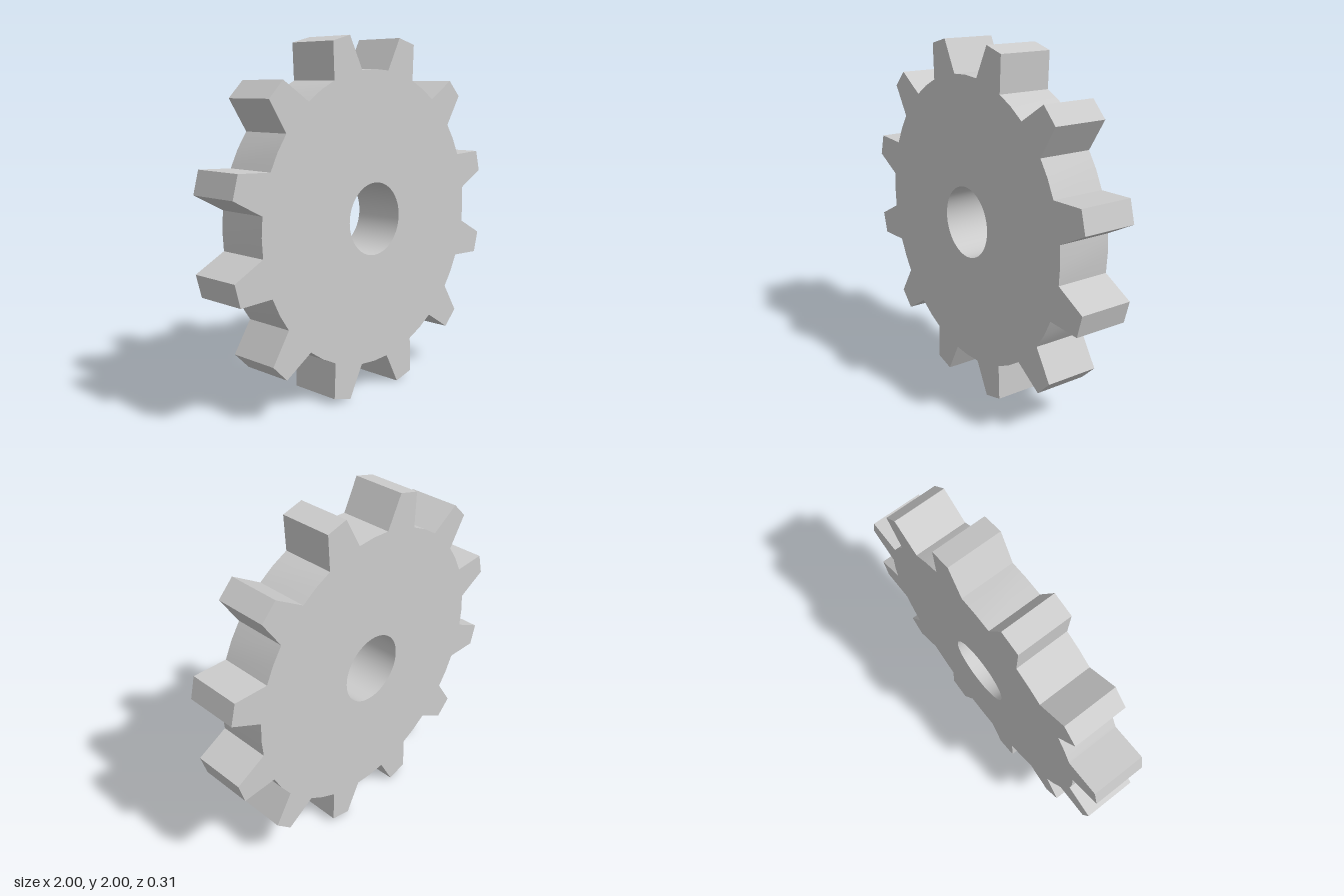
import * as THREE from 'three';
import { toCreasedNormals } from 'three/addons/utils/BufferGeometryUtils.js';

const TEETH = 12;
const TIP_R = 1.02, ROOT_R = 0.827, BORE_R = 0.205, DEPTH = 0.31;
const TIP_HALF = 3.65, ROOT_HALF = 7.6; // half widths of a tooth, in degrees

export function createModel() {
  const group = new THREE.Group();
  group.name = 'gear';

  const polar = (r, deg) => {
    const a = THREE.MathUtils.degToRad(deg);
    return new THREE.Vector2(r * Math.cos(a), r * Math.sin(a));
  };

  // Outline: a tapered tooth, then the middle of the root arc beside it
  const step = 360 / TEETH;
  const outline = [];
  for (let i = 0; i < TEETH; i++) {
    const mid = (i + 0.5) * step;
    outline.push(
      polar(ROOT_R, mid - ROOT_HALF),
      polar(TIP_R, mid - TIP_HALF),
      polar(TIP_R, mid + TIP_HALF),
      polar(ROOT_R, mid + ROOT_HALF),
      polar(ROOT_R, mid + step / 2)
    );
  }
  const shape = new THREE.Shape(outline);

  // Round bore for the axle
  shape.holes.push(new THREE.Path().absarc(0, 0, BORE_R, 0, Math.PI * 2, true));

  const extruded = new THREE.ExtrudeGeometry(shape, {
    depth: DEPTH, bevelEnabled: false, curveSegments: 32
  });
  extruded.translate(0, 1, -DEPTH / 2);

  const wheel = new THREE.Mesh(
    toCreasedNormals(extruded, 0.5),
    new THREE.MeshStandardMaterial({ color: 0xcccccc })
  );
  wheel.name = 'toothedWheel';
  group.add(wheel);
  return group;
}
